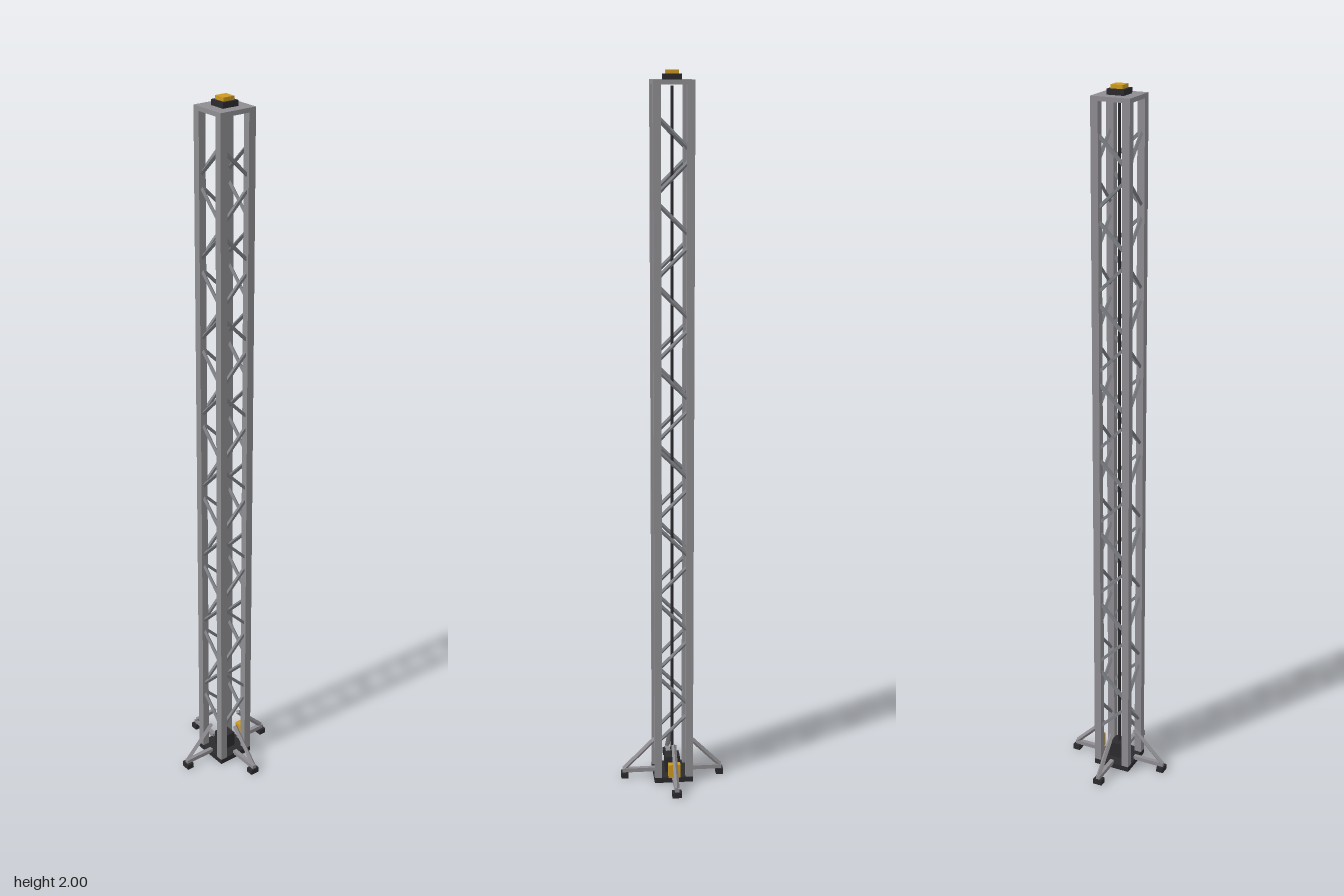
import * as THREE from 'three';

const material = (name, color) => {
  const m = new THREE.MeshStandardMaterial({ color });
  m.name = name;
  return m;
};

export function createModel() {
  const steel = material('steel grey', 0x8f8d91);
  const braceSteel = material('brace grey', 0x7d8085);
  const dark = material('charcoal', 0x2b2b2e);
  const yellow = material('safety yellow', 0xcf9a20);

  const tower = new THREE.Group();
  tower.name = 'latticeTower';

  const box = (parent, name, size, pos, mat) => {
    const mesh = new THREE.Mesh(new THREE.BoxGeometry(...size), mat);
    mesh.name = name;
    mesh.position.set(...pos);
    parent.add(mesh);
    return mesh;
  };

  // Square bar between two points
  const bar = (parent, name, from, to, width, mat) => {
    const a = new THREE.Vector3(...from);
    const b = new THREE.Vector3(...to);
    const mesh = box(parent, name, [width, width, a.distanceTo(b)], [0, 0, 0], mat);
    mesh.position.copy(a).add(b).multiplyScalar(0.5);
    mesh.quaternion.setFromUnitVectors(new THREE.Vector3(0, 0, 1), b.sub(a).normalize());
    return mesh;
  };

  // Base and top plates
  box(tower, 'basePlate', [0.11, 0.016, 0.11], [0, 0.01, 0], dark);
  box(tower, 'topPlate', [0.11, 0.012, 0.11], [0, 1.969, 0], steel);

  // Four corner columns
  for (const x of [-1, 1]) {
    for (const z of [-1, 1]) {
      box(tower, 'cornerColumn', [0.021, 1.947, 0.021], [x * 0.0445, 0.9905, z * 0.0445], steel);
    }
  }

  // Central mast cable
  const cable = new THREE.Mesh(new THREE.CylinderGeometry(0.004, 0.004, 1.94, 8), dark);
  cable.name = 'centreCable';
  cable.position.y = 0.99;
  tower.add(cable);

  // Zigzag braces: parallel on front and back, crossing on the two sides
  for (let i = 0; i < 16; i++) {
    const y = 0.17 + i * 0.1113;
    const s = i % 2 ? 1 : -1;
    const h = 0.038;
    for (const side of [-1, 1]) {
      const d = side * 0.0445;
      bar(tower, 'faceBrace', [-h, y - s * h, d], [h, y + s * h, d], 0.008, braceSteel);
      const t = s * side;
      bar(tower, 'sideBrace', [d, y - t * h, -h], [d, y + t * h, h], 0.008, braceSteel);
    }
  }

  // Four outriggers with feet and sloping struts
  for (let i = 0; i < 4; i++) {
    const outrigger = new THREE.Group();
    outrigger.name = 'outrigger';
    outrigger.rotation.y = i * Math.PI / 2;
    box(outrigger, 'outriggerBeam', [0.095, 0.012, 0.012], [0.0975, 0.021, 0], steel);
    bar(outrigger, 'outriggerStrut', [0.05, 0.116, 0], [0.14, 0.026, 0], 0.01, steel);
    box(outrigger, 'outriggerFoot', [0.021, 0.016, 0.027], [0.1385, 0.008, 0], dark);
    tower.add(outrigger);
  }

  // Motor inside the base and control box on the back
  box(tower, 'motorHousing', [0.042, 0.047, 0.042], [0, 0.0415, 0], dark);
  box(tower, 'controlBox', [0.034, 0.04, 0.018], [0, 0.045, -0.064], yellow);

  // Beacon on top
  box(tower, 'beaconBase', [0.048, 0.015, 0.048], [0, 1.9825, 0], dark);
  box(tower, 'beaconLamp', [0.034, 0.01, 0.034], [0, 1.995, 0], yellow);

  return tower;
}
